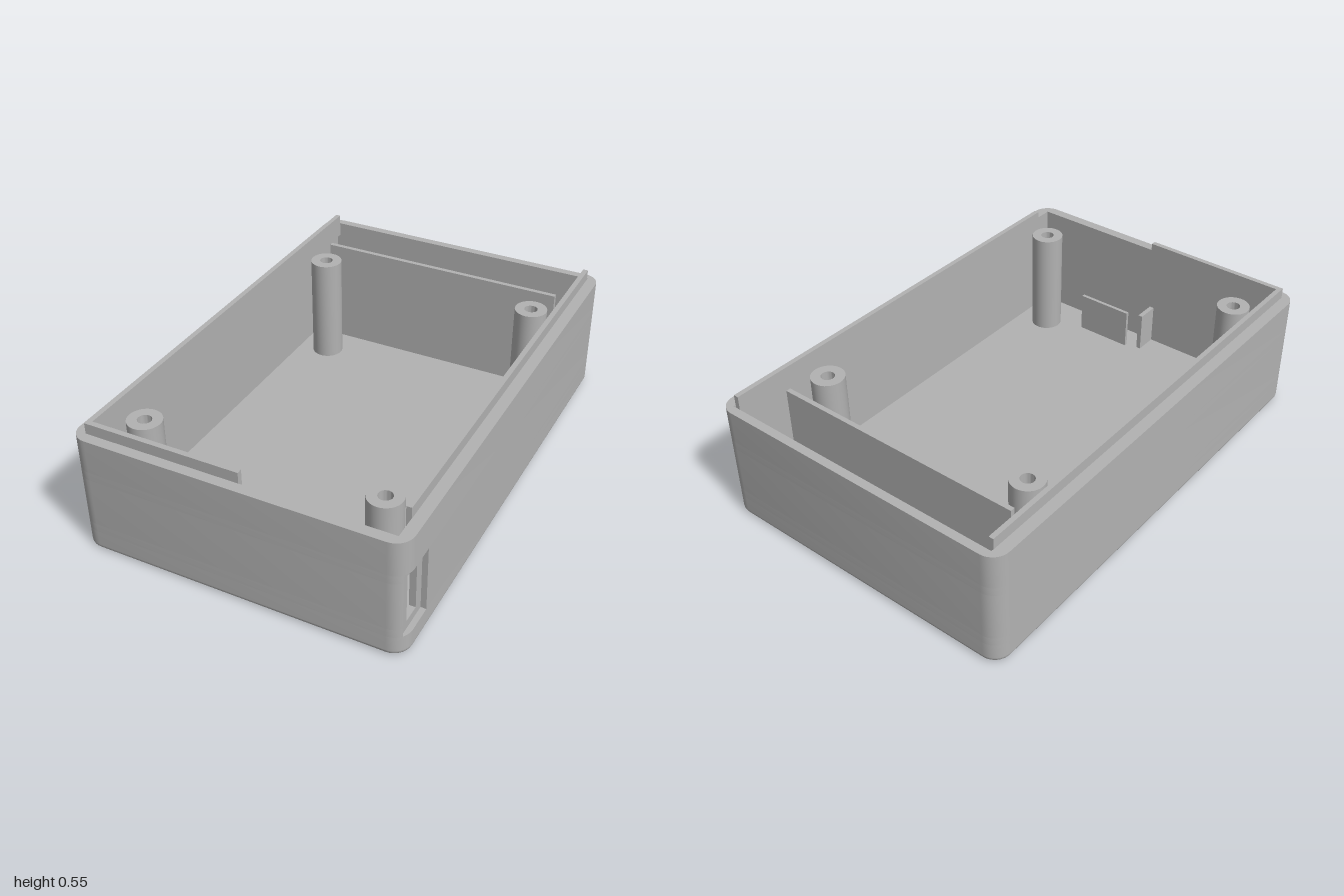
import * as THREE from 'three';
import { toCreasedNormals } from 'three/addons/utils/BufferGeometryUtils.js';

const HX = 0.665, HZ = 1, R = 0.07;               // outer half sizes, corner radius
const IX = 0.617, IZ0 = -0.965, IZ1 = 0.957;      // inner cavity
const RIM = 0.5, FLOOR = 0.03, EDGE = 0.02;       // rim height, floor top, bottom rounding
const BOSSES = [[-0.487, -0.61], [0.487, -0.61], [-0.487, 0.785], [0.487, 0.785]];
const PORT = { x: 0.643, z0: 0.82, z1: 0.975, y0: 0.085, y1: 0.36 };
const SLOT = { z0: 0.862, z1: 0.937, y0: 0.12, y1: 0.325 };

const v = (x, z) => new THREE.Vector2(x, z);

// Rounded outline in (x, z), starting at the front corner on the +x side
function outline(inset = 0) {
  const pts = [];
  const n = 8;
  [[1, 1], [-1, 1], [-1, -1], [1, -1]].forEach(([sx, sz], q) => {
    for (let i = 0; i <= n; i++) {
      const a = (q + i / n) * Math.PI / 2;
      pts.push(v(sx * (HX - R) + (R - inset) * Math.cos(a), sz * (HZ - R) + (R - inset) * Math.sin(a)));
    }
  });
  return pts;
}

// Outline with the port recess cut out of the +x side
function recessedOutline() {
  const kept = outline().filter(p => !(p.x > 0.6 && p.y > PORT.z0 && p.y < PORT.z1));
  const dz = PORT.z1 - (HZ - R);
  const edgeX = HX - R + Math.sqrt(R * R - dz * dz);
  return [v(PORT.x, PORT.z1), v(edgeX, PORT.z1), ...kept, v(HX, PORT.z0), v(PORT.x, PORT.z0)];
}

const cavity = () => [v(IX, IZ0), v(-IX, IZ0), v(-IX, IZ1), v(IX, IZ1)];

// Horizontal slice of wall between two heights
function slice(points, y0, y1, hollow = true) {
  const shape = new THREE.Shape(points);
  if (hollow) shape.holes.push(new THREE.Path(cavity()));
  const g = new THREE.ExtrudeGeometry(shape, { depth: y1 - y0, bevelEnabled: false });
  g.rotateX(Math.PI / 2).translate(0, y1, 0);
  return toCreasedNormals(g, 0.4);
}

// Flat sheet with round openings at the bosses
function sheet(points, radius, y, up) {
  const shape = new THREE.Shape(points);
  for (const [x, z] of BOSSES) {
    shape.holes.push(new THREE.Path().absarc(x, z, radius, 0, Math.PI * 2, true));
  }
  const g = new THREE.ShapeGeometry(shape, 24);
  g.rotateX(Math.PI / 2);
  if (up) {
    // reverse the winding so the sheet faces upward
    const idx = g.index.array;
    for (let i = 0; i < idx.length; i += 3) [idx[i], idx[i + 1]] = [idx[i + 1], idx[i]];
    g.computeVertexNormals();
  }
  return g.translate(0, y, 0);
}

// Rounded lower edge, lofted through shrinking outlines
function roundedEdge() {
  const pos = [], idx = [], steps = 5;
  let n = 0;
  for (let j = 0; j <= steps; j++) {
    const a = j / steps * Math.PI / 2;
    const ring = outline(EDGE * (1 - Math.sin(a)));
    n = ring.length;
    for (const p of ring) pos.push(p.x, EDGE * (1 - Math.cos(a)), p.y);
  }
  for (let j = 0; j < steps; j++) {
    for (let i = 0; i < n; i++) {
      const a = j * n + i, b = j * n + (i + 1) % n;
      idx.push(a, a + n, b, b, a + n, b + n);
    }
  }
  const g = new THREE.BufferGeometry();
  g.setAttribute('position', new THREE.Float32BufferAttribute(pos, 3));
  g.setIndex(idx);
  g.computeVertexNormals();
  return g;
}

export function createModel() {
  const model = new THREE.Group();
  model.name = 'enclosureBase';
  const plastic = new THREE.MeshStandardMaterial({ color: 0xb2b2b2 });
  plastic.name = 'greyPlastic';

  const add = (name, geometry) => {
    const mesh = new THREE.Mesh(geometry, plastic);
    mesh.name = name;
    model.add(mesh);
    return mesh;
  };
  const box = (name, x0, x1, y0, y1, z0, z1) =>
    add(name, new THREE.BoxGeometry(x1 - x0, y1 - y0, z1 - z0))
      .position.set((x0 + x1) / 2, (y0 + y1) / 2, (z0 + z1) / 2);

  // Floor
  add('undersideEdge', roundedEdge());
  add('underside', sheet(outline(EDGE), 0.043, 0, false));
  add('floor', sheet(cavity().reverse(), 0.06, FLOOR, true));

  // Walls, with the recessed port and its through slot
  const recessed = recessedOutline();
  const slotted = [
    v(PORT.x, SLOT.z1), ...recessed, v(PORT.x, SLOT.z0), v(IX, SLOT.z0),
    ...cavity(), v(IX, SLOT.z1),
  ];
  add('lowerWall', slice(outline(), EDGE, PORT.y0));
  add('portSill', slice(recessed, PORT.y0, SLOT.y0));
  add('portWall', slice(slotted, SLOT.y0, SLOT.y1, false));
  add('portHead', slice(recessed, SLOT.y1, PORT.y1));
  add('upperWall', slice(outline(), PORT.y1, RIM));

  // Alignment lips standing above the rim
  box('rightLip', -0.618, -0.598, 0.445, 0.545, -0.955, 0.958);
  box('leftLip', 0.597, 0.618, 0.445, 0.545, -0.955, 0.86);
  box('frontLip', -0.618, 0.02, 0.445, 0.545, 0.936, 0.958);

  // Rear partition and its ribs
  box('partition', -0.545, 0.54, FLOOR, 0.495, -0.775, -0.755);
  for (const x of [-0.505, 0.5]) box('partitionRib', x - 0.009, x + 0.009, FLOOR, 0.205, -0.966, -0.775);

  // Board stops near the front
  box('boardStop', 0.07, 0.32, FLOOR, 0.205, 0.84, 0.855);
  box('frontRib', 0, 0.02, FLOOR, 0.205, 0.862, 0.958);

  // Screw bosses, counterbored from below
  const profile = [
    [0.068, FLOOR - 0.005], [0.068, 0.495], [0.028, 0.495], [0.028, 0.25], [0.043, 0.25], [0.043, 0],
  ].map(([r, y]) => v(r, y));
  const boss = toCreasedNormals(new THREE.LatheGeometry(profile, 32), 0.5);
  for (const [x, z] of BOSSES) add('screwBoss', boss).position.set(x, 0, z);

  return model;
}
